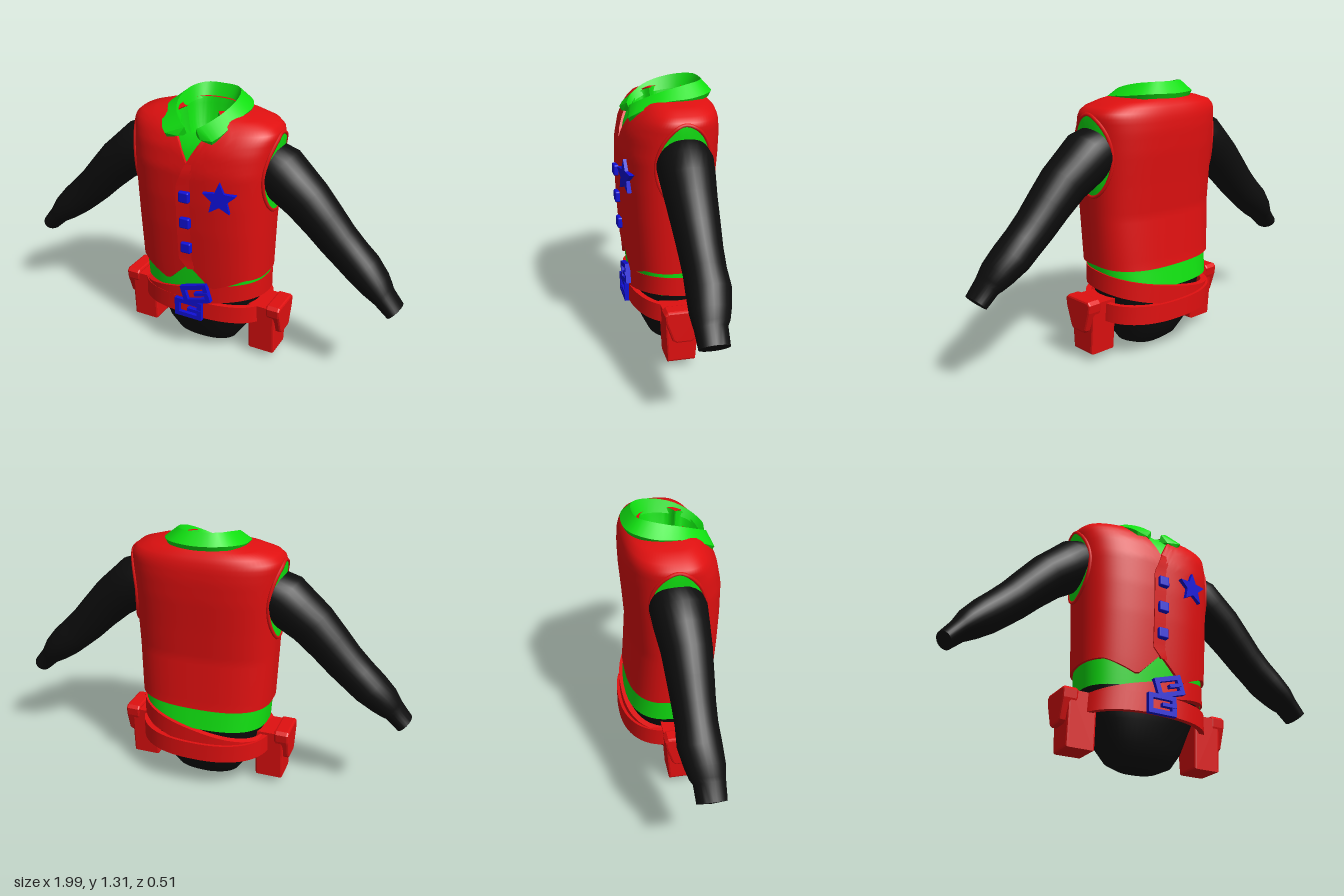
import * as THREE from 'three';
import { toCreasedNormals } from 'three/addons/utils/BufferGeometryUtils.js';
import { RoundedBoxGeometry } from 'three/addons/geometries/RoundedBoxGeometry.js';

const material = (name, color) => {
  const m = new THREE.MeshStandardMaterial({ color, side: THREE.DoubleSide });
  m.name = name;
  return m;
};

// linear interpolation in rows of [key, value, value...]
function tab(rows, k) {
  if (k <= rows[0][0]) return rows[0].slice(1);
  for (let i = 1; i < rows.length; i++) {
    if (k <= rows[i][0]) {
      const t = (k - rows[i - 1][0]) / (rows[i][0] - rows[i - 1][0]);
      return rows[i].slice(1).map((v, j) => THREE.MathUtils.lerp(rows[i - 1][j + 1], v, t));
    }
  }
  return rows[rows.length - 1].slice(1);
}

// surface from f(i, j); i runs around, j runs up
function grid(nu, nv, f, wrapU = true, wrapV = false, crease = 0.7) {
  const pos = [], idx = [];
  for (let j = 0; j < nv; j++) for (let i = 0; i < nu; i++) pos.push(...f(i, j));
  for (let j = 0; j < (wrapV ? nv : nv - 1); j++) {
    for (let i = 0; i < (wrapU ? nu : nu - 1); i++) {
      const i2 = (i + 1) % nu, j2 = (j + 1) % nv;
      const a = j * nu + i, b = j * nu + i2, c = j2 * nu + i2, d = j2 * nu + i;
      idx.push(a, b, c, a, c, d);
    }
  }
  const g = new THREE.BufferGeometry();
  g.setAttribute('position', new THREE.Float32BufferAttribute(pos, 3));
  g.setIndex(idx);
  return toCreasedNormals(g, crease);
}

// rounded-square ring, phi = 0 at the front, turning toward +x
function ring(phi, y, W, F, B, n = 2.7) {
  const s = Math.sin(phi), c = Math.cos(phi);
  const r = (Math.abs(s) ** n + Math.abs(c) ** n) ** (-1 / n);
  return [W * r * s, y, (c > 0 ? F : B) * r * c];
}

// torso: height, half width, front depth, back depth
const TORSO = [
  [0.34, 0.325, 0.2, 0.232], [0.46, 0.332, 0.21, 0.212], [0.7, 0.342, 0.228, 0.195],
  [0.85, 0.348, 0.235, 0.205], [1.0, 0.355, 0.235, 0.217], [1.1, 0.361, 0.215, 0.22],
  [1.16, 0.366, 0.185, 0.215], [1.19, 0.36, 0.16, 0.206], [1.21, 0.33, 0.14, 0.197],
  [1.235, 0.23, 0.11, 0.17], [1.25, 0.14, 0.08, 0.135]
];
const torso = (phi, y, off = 0) => {
  const [W, F, B] = tab(TORSO, y);
  return ring(phi, y, W + off, F + off, B + off);
};
const HIPS = [
  [0.004, 0, 0, 0], [0.006, 0.1, 0.06, 0.07], [0.035, 0.165, 0.1, 0.11], [0.1, 0.21, 0.132, 0.15],
  [0.2, 0.25, 0.16, 0.19], [0.28, 0.285, 0.178, 0.197], [0.36, 0.3, 0.182, 0.2]
];
// arm: centre x, centre y, centre z, half height, half depth
const ARM = [
  [0.29, 1.03, -0.01, 0.12, 0.115], [0.35, 1.0, -0.008, 0.13, 0.128], [0.42, 0.945, -0.005, 0.122, 0.122],
  [0.505, 0.88, 0, 0.112, 0.112], [0.59, 0.795, 0, 0.102, 0.103], [0.665, 0.715, 0, 0.095, 0.095],
  [0.73, 0.655, 0, 0.09, 0.092], [0.795, 0.598, 0, 0.086, 0.096], [0.86, 0.54, 0.01, 0.073, 0.088],
  [0.895, 0.505, 0.015, 0.058, 0.078], [0.91, 0.49, 0.02, 0.052, 0.07], [0.965, 0.432, 0.02, 0.044, 0.066],
  [0.968, 0.428, 0.02, 0, 0]
];
const around = (i, n) => (i / n) * Math.PI * 2;

export function createModel() {
  const red = material('red', 0xe01010), green = material('green', 0x10e010);
  const blue = material('blue', 0x1010d8), black = material('black', 0x0d0d0d);
  const model = new THREE.Group();
  const add = (name, geo, mat, parent = model) => {
    const m = new THREE.Mesh(geo, mat);
    m.name = name;
    parent.add(m);
    return m;
  };

  // hips
  add('hips', grid(48, HIPS.length, (i, j) => {
    const [y, W, F, B] = HIPS[j];
    return ring(around(i, 48), y, W, F, B, 2.3);
  }), black);

  // shirt, folding over at the neck into an inner bowl
  const N = 96, ROWS = 36;
  const front = (phi) => Math.min(phi, Math.PI * 2 - phi);
  const shirtTop = (phi) => tab([[0, 1.165], [0.3, 1.215], [0.6, 1.25]], front(phi))[0];
  add('shirt', grid(N, ROWS + 4, (i, j) => {
    const phi = around(i, N), top = shirtTop(phi);
    if (j < ROWS) return torso(phi, 0.34 + (top - 0.34) * j / (ROWS - 1), -0.013);
    const [x, , z] = torso(phi, top, -0.013);
    const k = [0.95, 0.85, 0.6, 0][j - ROWS];
    return [x * k, [top - 0.03, 1.13, 1.04, 1.01][j - ROWS], z * k];
  }), green);

  // vest with pointed front hem and V neck
  const hem = (phi) => {
    const x = Math.abs(torso(phi, 0.45)[0]);
    if (Math.cos(phi) < 0) return 0.46 - 0.015 * Math.abs(Math.cos(phi));
    return tab([[0, 0.51], [0.12, 0.395], [0.27, 0.46]], x)[0];
  };
  const vestTop = (phi) => tab([[0, 1.04], [0.12, 1.12], [0.27, 1.2], [0.6, 1.25]], front(phi))[0];
  add('vest', grid(N, ROWS + 2, (i, j) => {
    const phi = around(i, N), lo = hem(phi), hi = vestTop(phi);
    const t = THREE.MathUtils.clamp((j - 1) / (ROWS - 1), 0, 1);
    return torso(phi, lo + (hi - lo) * t, j === 0 || j === ROWS + 1 ? -0.016 : 0);
  }), red);

  // overlapping front edge of the vest
  add('vestPlacket', grid(3, 24, (i, j) => {
    const y = 0.49 + 0.55 * j / 23, W = tab(TORSO, y)[0];
    const left = tab([[0.49, 0], [0.54, -0.045], [0.93, -0.045], [1.04, 0]], y)[0];
    return torso([left, left, 0.04][i] / W, y, [-0.006, 0.008, -0.002][i]);
  }, false), red);

  // collar: half curves from the front opening to the nape, mirrored
  const rail = (pts) => new THREE.CatmullRomCurve3([
    ...pts, ...pts.slice(0, -1).reverse().map(([x, y, z]) => [-x, y, z])
  ].map((p) => new THREE.Vector3(...p)));
  const outer = [[0.11, 1.15, 0.208], [0.15, 1.18, 0.175], [0.19, 1.235, 0.06],
    [0.19, 1.25, -0.08], [0.12, 1.26, -0.18], [0, 1.258, -0.206]];
  const fold = [[0.012, 1.185, 0.19], [0.08, 1.225, 0.15], [0.13, 1.27, 0.06],
    [0.13, 1.3, -0.06], [0.085, 1.31, -0.14], [0, 1.31, -0.158]];
  const base = [[0.008, 1.14, 0.175], [0.07, 1.19, 0.135], [0.11, 1.22, 0.05],
    [0.11, 1.235, -0.06], [0.07, 1.24, -0.115], [0, 1.24, -0.13]];
  const under = outer.map(([x, y, z]) => [x * 0.95, y - 0.022, z * 0.95]);
  const rails = [under, outer, fold, base].map(rail), CN = 41;
  add('collar', grid(CN, 4, (i, j) => {
    const t = i / (CN - 1);
    if (i > 0 && i < CN - 1) return rails[j].getPoint(t).toArray();
    const mid = new THREE.Vector3();
    rails.forEach((r) => mid.addScaledVector(r.getPoint(t), 0.25));
    return mid.toArray();
  }, false, true, 0.5), green);

  // mirrored parts: arms, armholes and holsters
  const up = new THREE.Vector2(0.7, 0.71);
  const armGeo = grid(28, ARM.length, (i, j) => {
    const [x, y, z, a, b] = ARM[j], u = around(i, 28), k = a * Math.cos(u);
    return [x + up.x * k, y + up.y * k, z + b * Math.sin(u)];
  });
  const armhole = (a, r, off) =>
    torso(Math.PI / 2 + 0.04 - 0.53 * r * Math.cos(a), 0.985 + 0.19 * r * Math.sin(a), off);
  const patchGeo = grid(40, 6, (i, j) => armhole(around(i, 40), 1 - j / 5, 0.005));
  const rimCurve = new THREE.CatmullRomCurve3(Array.from({ length: 32 }, (_, i) =>
    new THREE.Vector3(...armhole(around(i, 32), 1, 0.002))), true);
  const rimGeo = new THREE.TubeGeometry(rimCurve, 64, 0.009, 6, true);
  const slab = (pts, x0, x1) => {
    const bevel = 0.01;
    const g = new THREE.ExtrudeGeometry(new THREE.Shape(pts.map(([z, y]) => new THREE.Vector2(-z, y))), {
      depth: x1 - x0 - 2 * bevel, bevelSize: bevel, bevelThickness: bevel, bevelOffset: -bevel, bevelSegments: 2
    });
    return g.rotateY(Math.PI / 2).translate(x0 + bevel, 0, 0);
  };
  const pouchGeo = slab([[0.095, 0.3], [0.08, 0.04], [-0.055, 0.04], [-0.075, 0.3]], 0.265, 0.405);
  const flapGeo = slab([[0.1, 0.3], [0.085, 0.315], [-0.065, 0.315], [-0.08, 0.3], [-0.075, 0.26],
    [-0.045, 0.165], [-0.03, 0.152], [0.045, 0.152], [0.062, 0.165], [0.095, 0.26]], 0.36, 0.434);
  for (const [side, s] of [['left', 1], ['right', -1]]) {
    const half = new THREE.Group();
    half.name = side + 'Side';
    half.scale.x = s;
    model.add(half);
    add(side + 'Sleeve', armGeo, black, half);
    add(side + 'ArmholeShirt', patchGeo, green, half);
    add(side + 'ArmholeRim', rimGeo, red, half);
    add(side + 'Holster', pouchGeo, red, half);
    add(side + 'HolsterFlap', flapGeo, red, half);
  }

  // belts: one level, one slung across the hips
  const belt = (name, W, F, B, height) => add(name, grid(72, 4, (i, j) => {
    const phi = around(i, 72), off = j === 1 || j === 2 ? 0 : -0.025;
    const [x, , z] = ring(phi, 0, W + off, F + off, B + off, 2.4);
    return [x, height(phi, x, z) + (j < 2 ? -0.045 : 0.045), z];
  }, true, true), red);
  belt('holsterBelt', 0.335, 0.205, 0.25, (phi) => 0.247 + 0.018 * Math.cos(phi));
  belt('slungBelt', 0.328, 0.205, 0.235, (phi, x, z) => 0.315 + 0.22 * x + 0.1 * z);

  // buckles
  const rect = (P, w, h) => new P([[-w, -h], [w, -h], [w, h], [-w, h]].map((p) => new THREE.Vector2(...p)));
  const frame = rect(THREE.Shape, 0.074, 0.048);
  frame.holes.push(rect(THREE.Path, 0.05, 0.026));
  const frameGeo = new THREE.ExtrudeGeometry(frame, { depth: 0.024, bevelEnabled: false });
  for (const [name, x, y, tilt] of [['lowerBuckle', 0, 0.262, 0], ['upperBuckle', 0.04, 0.358, 0.3]]) {
    const b = new THREE.Group();
    b.name = name;
    b.position.set(x, y, 0.2);
    b.rotation.z = tilt;
    model.add(b);
    add(name + 'Frame', frameGeo, blue, b);
    add(name + 'Prong', new THREE.BoxGeometry(0.075, 0.017, 0.026), blue, b).position.set(0.035, 0, 0.015);
  }

  // buttons
  [0.882, 0.748, 0.613].forEach((y, i) => {
    add('button' + (i + 1), new RoundedBoxGeometry(0.054, 0.054, 0.03, 2, 0.008), blue)
      .position.set(0, y, tab(TORSO, y)[1] + 0.008);
  });

  // star badge
  const star = new THREE.Shape(Array.from({ length: 10 }, (_, i) => {
    const a = Math.PI / 2 + around(i, 10), r = i % 2 ? 0.038 : 0.083;
    return new THREE.Vector2(r * Math.cos(a), r * Math.sin(a));
  }));
  const badge = add('starBadge', new THREE.ExtrudeGeometry(star, { depth: 0.025, bevelEnabled: false }), blue);
  badge.position.set(0.17, 0.9, 0.213);
  badge.rotation.y = 0.2;

  return model;
}
